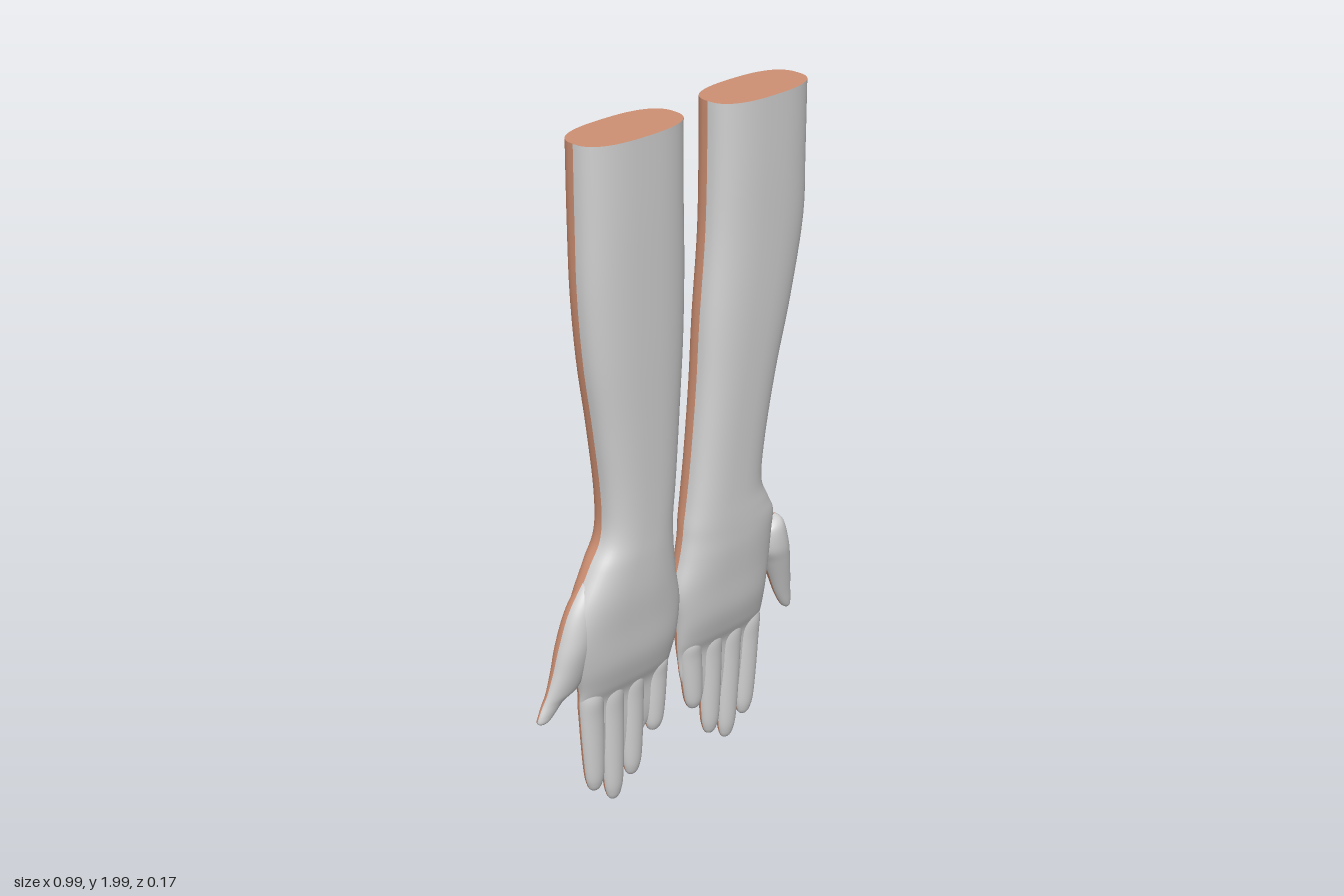
import * as THREE from 'three';

const SIDES = 48;
const STEPS = 6;

const front = new THREE.MeshStandardMaterial({ color: 0xd0d0d0 });
front.name = 'pale grey';
const back = new THREE.MeshStandardMaterial({ color: 0xcf9073 });
back.name = 'warm tan';

// Smoothly subdivides rows of [y, xMin, xMax, zBack, zFront]
function smoothRows(rows) {
  const out = [];
  for (let i = 0; i < rows.length - 1; i++) {
    const p = [rows[Math.max(i - 1, 0)], rows[i], rows[i + 1], rows[Math.min(i + 2, rows.length - 1)]];
    for (let s = 0; s < STEPS; s++) {
      const t = s / STEPS;
      out.push(p[1].map((v, k) => {
        const m0 = (p[2][k] - p[0][k]) / 2, m1 = (p[3][k] - v) / 2, d = p[2][k] - v;
        return v + t * (m0 + t * (3 * d - 2 * m0 - m1 + t * (m0 + m1 - 2 * d)));
      }));
    }
  }
  out.push(rows[rows.length - 1]);
  return out;
}

// One rounded horizontal cross-section
function ring([y, x0, x1, z0, z1], power) {
  const bend = (v) => Math.sign(v) * Math.abs(v) ** (2 / power);
  const a = Math.max((x1 - x0) / 2, 0.001), b = Math.max((z1 - z0) / 2, 0.001);
  return Array.from({ length: SIDES }, (_, j) => {
    const t = (j / SIDES) * Math.PI * 2;
    return new THREE.Vector3((x0 + x1) / 2 + a * bend(Math.cos(t)), y, (z0 + z1) / 2 + b * bend(Math.sin(t)));
  });
}

// Skin through the sections: front half grey, back half tan
function loft(name, rows, power = 2) {
  const rings = smoothRows(rows).map((r) => ring(r, power));
  const halves = [[], []];
  for (let i = 0; i < rings.length - 1; i++) {
    for (let j = 0; j < SIDES; j++) {
      const a = i * SIDES + j, b = i * SIDES + (j + 1) % SIDES;
      halves[j < SIDES / 2 ? 0 : 1].push(a, b, a + SIDES, b, b + SIDES, a + SIDES);
    }
  }
  const geo = new THREE.BufferGeometry().setFromPoints(rings.flat());
  geo.setIndex([...halves[0], ...halves[1]]);
  geo.addGroup(0, halves[0].length, 0);
  geo.addGroup(halves[0].length, halves[1].length, 1);
  geo.computeVertexNormals();
  const mesh = new THREE.Mesh(geo, [front, back]);
  mesh.name = name;
  return mesh;
}

// Flat cut at the elbow end
function cutEnd(row, power) {
  const shape = new THREE.Shape(ring(row, power).map((p) => new THREE.Vector2(p.x, -p.z)));
  const mesh = new THREE.Mesh(new THREE.ShapeGeometry(shape).rotateX(-Math.PI / 2), back);
  mesh.position.y = row[0];
  mesh.name = 'cutEnd';
  return mesh;
}

// Tapered finger hanging from the palm, with a round tip
function finger(name, baseX, tipX, tipY, width) {
  const top = 0.43;
  const profile = [[0, 0.8, 0.7], [0.12, 1, 1.08], [0.3, 1, 1], [0.6, 0.92, 0.95], [0.83, 0.8, 0.85],
    [0.93, 0.62, 0.66], [0.98, 0.38, 0.4], [1, 0.02, 0.02]];
  return loft(name, profile.map(([t, w, d]) => {
    const x = baseX + (tipX - baseX) * t, h = (width * w) / 2;
    return [top + (tipY - top) * t, x - h, x + h, -0.019 - 0.027 * d, -0.019 + 0.029 * d];
  }));
}

function buildArm(name, side, armRows, thumbRows, fingers) {
  const arm = new THREE.Group();
  arm.name = name;
  arm.add(loft('forearmAndPalm', armRows, 2.6), cutEnd(armRows[0], 2.6), loft('thumb', thumbRows, 2.1));
  for (const [label, baseX, tipX, tipY, width] of fingers) {
    arm.add(finger(label, side * baseX, side * tipX, tipY, width));
  }
  return arm;
}

export function createModel() {
  const model = new THREE.Group();
  model.name = 'pairOfForearms';

  model.add(buildArm('rightArm', -1, [
    [2, -0.345, 0, -0.085, 0.085],
    [1.8, -0.345, 0, -0.084, 0.085],
    [1.6, -0.342, 0.004, -0.082, 0.083],
    [1.4, -0.325, 0.001, -0.08, 0.08],
    [1.2, -0.295, -0.01, -0.077, 0.075],
    [1.0, -0.27, -0.022, -0.075, 0.07],
    [0.88, -0.273, -0.032, -0.075, 0.068],
    [0.8, -0.318, -0.028, -0.074, 0.068],
    [0.7, -0.372, -0.015, -0.07, 0.065],
    [0.6, -0.395, 0.006, -0.066, 0.055],
    [0.5, -0.372, 0.0, -0.06, 0.045],
    [0.42, -0.35, -0.012, -0.053, 0.024],
    [0.36, -0.345, -0.02, -0.045, 0.003],
    [0.27, -0.335, -0.045, -0.04, -0.002],
    [0.2, -0.32, -0.105, -0.034, -0.007],
    [0.12, -0.28, -0.18, -0.022, -0.018],
  ], [
    [0.8, -0.31, -0.24, -0.03, 0.02],
    [0.7, -0.386, -0.28, -0.045, 0.035],
    [0.6, -0.424, -0.31, -0.052, 0.036],
    [0.52, -0.444, -0.33, -0.05, 0.024],
    [0.46, -0.462, -0.35, -0.046, 0.01],
    [0.43, -0.474, -0.4, -0.043, -0.002],
    [0.4, -0.488, -0.43, -0.04, -0.008],
    [0.38, -0.492, -0.452, -0.038, -0.013],
    [0.37, -0.476, -0.474, -0.028, -0.026],
  ], [
    ['indexFinger', 0.308, 0.295, 0.073, 0.08],
    ['middleFinger', 0.232, 0.225, 0.01, 0.082],
    ['ringFinger', 0.152, 0.154, 0.06, 0.08],
    ['littleFinger', 0.058, 0.068, 0.172, 0.078],
  ]));

  model.add(buildArm('leftArm', 1, [
    [2, 0.115, 0.45, -0.085, 0.085],
    [1.8, 0.114, 0.45, -0.084, 0.085],
    [1.62, 0.108, 0.449, -0.082, 0.083],
    [1.4, 0.09, 0.408, -0.08, 0.08],
    [1.2, 0.079, 0.358, -0.077, 0.075],
    [1.0, 0.062, 0.322, -0.075, 0.07],
    [0.87, 0.047, 0.313, -0.075, 0.068],
    [0.8, 0.036, 0.342, -0.074, 0.068],
    [0.75, 0.03, 0.366, -0.072, 0.067],
    [0.69, 0.018, 0.364, -0.07, 0.064],
    [0.6, -0.002, 0.362, -0.066, 0.055],
    [0.5, 0.012, 0.355, -0.06, 0.045],
    [0.42, 0.022, 0.354, -0.053, 0.024],
    [0.36, 0.032, 0.352, -0.045, 0.003],
    [0.27, 0.05, 0.335, -0.04, -0.002],
    [0.2, 0.11, 0.32, -0.034, -0.007],
    [0.12, 0.18, 0.28, -0.022, -0.018],
  ], [
    [0.695, 0.406, 0.408, -0.01, -0.008],
    [0.685, 0.375, 0.424, -0.035, 0.015],
    [0.66, 0.345, 0.436, -0.05, 0.03],
    [0.6, 0.345, 0.452, -0.054, 0.034],
    [0.55, 0.37, 0.463, -0.052, 0.026],
    [0.48, 0.402, 0.476, -0.048, 0.012],
    [0.42, 0.428, 0.486, -0.045, 0.0],
    [0.375, 0.452, 0.492, -0.041, -0.008],
    [0.355, 0.468, 0.491, -0.036, -0.014],
    [0.348, 0.481, 0.483, -0.026, -0.024],
  ], [
    ['indexFinger', 0.314, 0.297, 0.06, 0.08],
    ['middleFinger', 0.236, 0.225, 0.01, 0.082],
    ['ringFinger', 0.156, 0.158, 0.055, 0.08],
    ['littleFinger', 0.07, 0.092, 0.172, 0.078],
  ]));

  return model;
}
